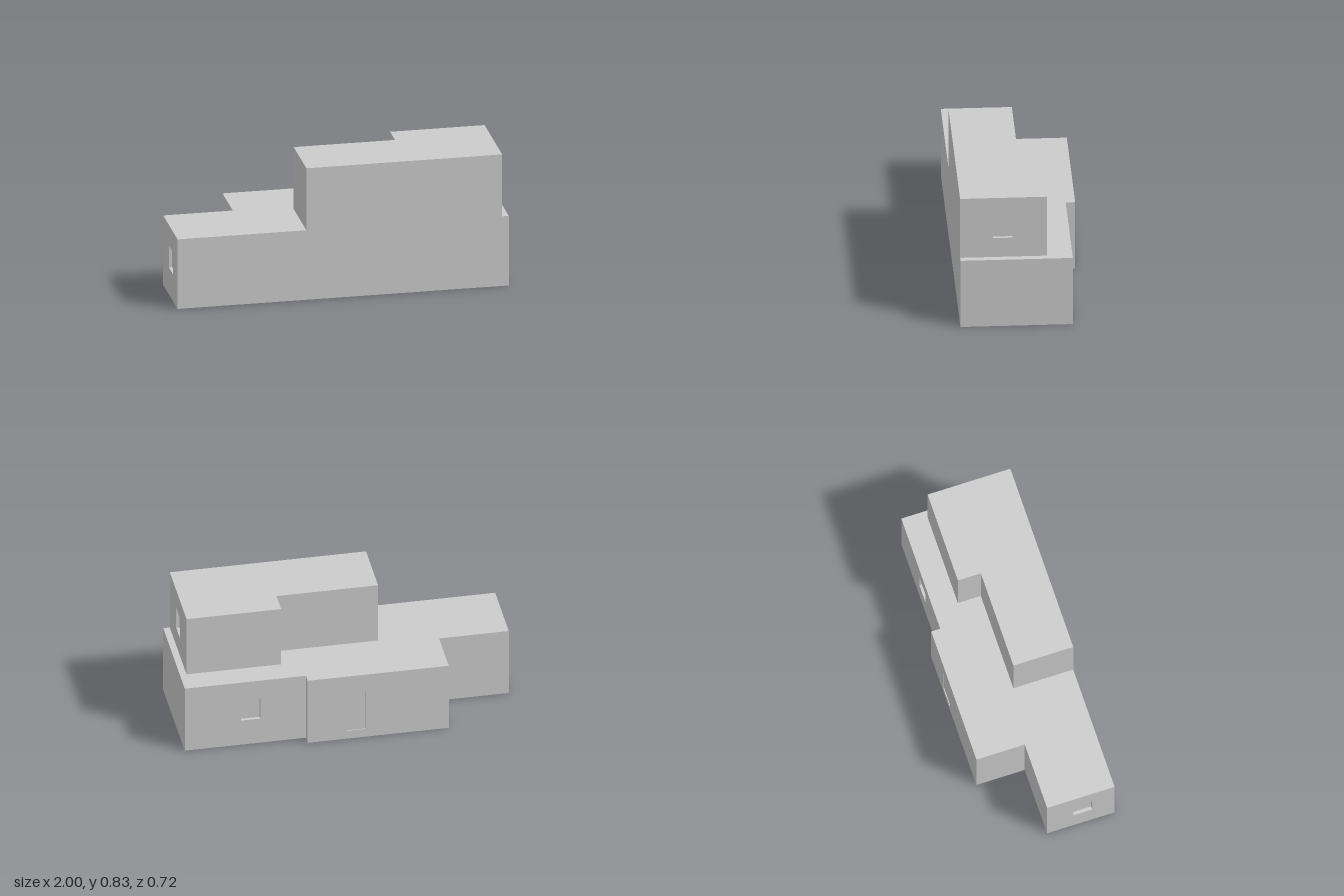
import * as THREE from 'three';

const solid = new THREE.MeshStandardMaterial({ color: 0xcccccc });
const open = new THREE.MeshStandardMaterial({ color: 0xcccccc, side: THREE.DoubleSide });

function addMesh(parent, name, geometry, material = solid) {
  const mesh = new THREE.Mesh(geometry, material);
  mesh.name = name;
  parent.add(mesh);
  return mesh;
}

// Shallow niche: a box without its outer face
function recessGeometry({ u, v, w, h, d }) {
  const box = new THREE.BoxGeometry(w, h, d);
  const index = Array.from(box.index.array);
  index.splice(24, 6);
  box.setIndex(index);
  return box.translate(u + w / 2, v + h / 2, -d / 2);
}

// Flat wall from a to b ([x, z] corners), with an optional recessed opening
function wall(a, b, height, opening) {
  const group = new THREE.Group();
  group.name = 'wall';
  const dx = b[0] - a[0], dz = b[1] - a[1], length = Math.hypot(dx, dz);
  const shape = new THREE.Shape().moveTo(0, 0).lineTo(length, 0).lineTo(length, height).lineTo(0, height);
  if (opening) {
    const { u, v, w, h } = opening;
    shape.holes.push(new THREE.Path().moveTo(u, v).lineTo(u, v + h).lineTo(u + w, v + h).lineTo(u + w, v));
    addMesh(group, opening.name, recessGeometry(opening), open);
  }
  addMesh(group, 'wallFace', new THREE.ShapeGeometry(shape));
  group.position.set(a[0], 0, a[1]);
  group.rotation.y = Math.atan2(-dz, dx);
  return group;
}

// One storey: walls around a footprint, closed by a floor and a flat roof
function storey(name, footprint, y, height, openings) {
  const group = new THREE.Group();
  group.name = name;
  group.position.y = y;
  footprint.forEach((a, i) => {
    group.add(wall(a, footprint[(i + 1) % footprint.length], height, openings[i]));
  });
  const plan = new THREE.Shape(footprint.map(([x, z]) => new THREE.Vector2(x, -z)));
  addMesh(group, 'roof', new THREE.ShapeGeometry(plan).rotateX(-Math.PI / 2).translate(0, height, 0));
  const under = new THREE.Shape(footprint.map(([x, z]) => new THREE.Vector2(x, z)));
  addMesh(group, 'floor', new THREE.ShapeGeometry(under).rotateX(Math.PI / 2));
  return group;
}

export function createModel() {
  const model = new THREE.Group();
  model.name = 'house';
  const windowAt = (u, v) => ({ name: 'window', u, v, w: 0.115, h: 0.138, d: 0.02 });
  const door = { name: 'door', u: 0.23, v: 0.055, w: 0.12, h: 0.265, d: 0.005 };

  // Ground floor with a stepped back; openings are keyed by wall number
  model.add(storey('groundFloor', [
    [-1, 0.361], [1, 0.361], [1, -0.305], [0.27, -0.305],
    [0.27, -0.361], [-0.58, -0.361], [-0.58, -0.06], [-1, -0.06],
  ], 0, 0.438, { 2: windowAt(0.34, 0.17), 4: door, 7: windowAt(0.165, 0.17) }));

  // Smaller upper floor, flush with the front
  model.add(storey('upperFloor', [
    [-0.222, 0.361], [0.96, 0.361], [0.96, -0.155],
    [0.39, -0.155], [0.39, -0.012], [-0.222, -0.012],
  ], 0.438, 0.39, { 1: windowAt(0.196, 0.125) }));
  return model;
}
